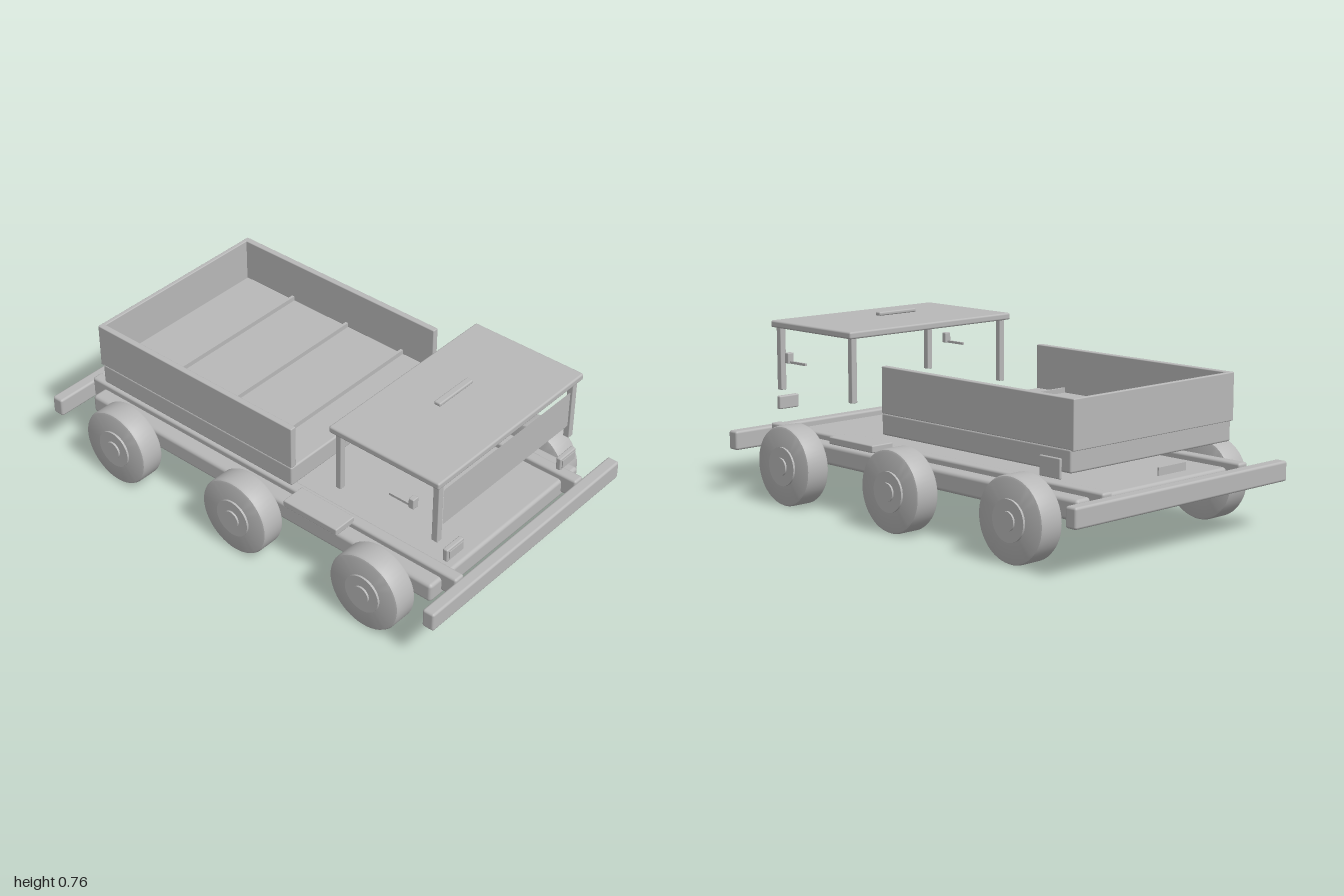
import * as THREE from 'three';
import { toCreasedNormals } from 'three/addons/utils/BufferGeometryUtils.js';
import { RoundedBoxGeometry } from 'three/addons/geometries/RoundedBoxGeometry.js';

export function createModel() {
  const truck = new THREE.Group();
  truck.name = 'flatbedTruck';
  const grey = new THREE.MeshStandardMaterial({ color: 0xb8b8b8 });
  grey.name = 'grey';

  function add(name, geometry, parent = truck) {
    const mesh = new THREE.Mesh(geometry, grey);
    mesh.name = name;
    parent.add(mesh);
    return mesh;
  }

  // Box given by its limits on each axis, with optional rounded edges
  function box(name, [x0, x1], [y0, y1], [z0, z1], radius = 0) {
    const size = [x1 - x0, y1 - y0, z1 - z0];
    const geometry = radius
      ? new RoundedBoxGeometry(...size, 2, radius)
      : new THREE.BoxGeometry(...size);
    const mesh = add(name, geometry);
    mesh.position.set((x0 + x1) / 2, (y0 + y1) / 2, (z0 + z1) / 2);
    return mesh;
  }

  // The same box on both sides
  function pair(name, [x0, x1], y, z, radius) {
    box(name + 'Left', [x0, x1], y, z, radius);
    box(name + 'Right', [-x1, -x0], y, z, radius);
  }

  // Chassis: floor plate, two rails, bumpers and steps
  box('chassisPlate', [-0.463, 0.463], [0.178, 0.26], [-0.89, 0.89], 0.015);
  pair('chassisRail', [0.35, 0.4], [0.2, 0.285], [-0.955, 0.955], 0.01);
  box('frontBumper', [-0.585, 0.585], [0.19, 0.27], [0.947, 1], 0.01);
  box('rearBumper', [-0.585, 0.585], [0.19, 0.27], [-1, -0.947], 0.01);
  pair('sideStep', [0.383, 0.49], [0.275, 0.305], [0.19, 0.457], 0.005);

  // Wheels with stepped hubs, and axles
  const tyreProfile = [
    [0, -0.053], [0.153, -0.053], [0.161, -0.05], [0.165, -0.042],
    [0.165, 0.042], [0.161, 0.05], [0.153, 0.053], [0, 0.053],
  ].map(([r, y]) => new THREE.Vector2(r, y));
  const tyre = toCreasedNormals(new THREE.LatheGeometry(tyreProfile, 48), 0.6);
  const hub = new THREE.CylinderGeometry(0.08, 0.08, 0.02, 40);
  const cap = new THREE.CylinderGeometry(0.037, 0.037, 0.02, 32);
  for (const z of [0.657, 0, -0.657]) {
    box('axle', [-0.47, 0.47], [0.157, 0.19], [z - 0.017, z + 0.017], 0.006);
    for (const side of [1, -1]) {
      const wheel = new THREE.Group();
      wheel.name = 'wheel';
      add('tyre', tyre, wheel);
      add('hub', hub, wheel).position.y = 0.052;
      add('hubCap', cap, wheel).position.y = 0.06;
      wheel.rotation.z = -side * Math.PI / 2;
      wheel.position.set(side * 0.517, 0.165, z);
      truck.add(wheel);
    }
  }

  // Cargo bed: base, walls and floor ridges
  box('bedBase', [-0.44, 0.44], [0.343, 0.43], [-0.835, 0.19], 0.008);
  pair('bedSideWall', [0.413, 0.44], [0.428, 0.614], [-0.84, 0.19], 0.004);
  box('bedRearWall', [-0.44, 0.44], [0.425, 0.614], [-0.848, -0.83], 0.004);
  for (const z of [0.03, -0.265, -0.565]) {
    box('bedRidge', [-0.413, 0.413], [0.425, 0.45], [z - 0.006, z + 0.006]);
  }

  // Open cab: roof, posts, roof light
  box('roof', [-0.44, 0.44], [0.698, 0.727], [0.376, 0.89], 0.008);
  pair('frontPost', [0.393, 0.42], [0.437, 0.7], [0.85, 0.877], 0.003);
  pair('rearPost', [0.393, 0.42], [0.437, 0.7], [0.393, 0.418], 0.003);
  box('roofLight', [-0.1, 0.1], [0.741, 0.757], [0.594, 0.624], 0.006);

  // Windshield, a single sheet facing forward
  const w = 0.385, h = 0.08, r = 0.008;
  const pane = new THREE.Shape();
  pane.moveTo(-w + r, -h);
  pane.lineTo(w - r, -h);
  pane.quadraticCurveTo(w, -h, w, -h + r);
  pane.lineTo(w, h - r);
  pane.quadraticCurveTo(w, h, w - r, h);
  pane.lineTo(-w + r, h);
  pane.quadraticCurveTo(-w, h, -w, h - r);
  pane.lineTo(-w, -h + r);
  pane.quadraticCurveTo(-w, -h, -w + r, -h);
  add('windshield', new THREE.ShapeGeometry(pane)).position.set(0, 0.579, 0.872);

  // Mirrors with arms, headlights with lenses
  pair('mirror', [0.42, 0.45], [0.56, 0.604], [0.763, 0.787], 0.004);
  pair('mirrorArm', [0.43, 0.44], [0.56, 0.57], [0.665, 0.775]);
  pair('headlight', [0.3, 0.4], [0.348, 0.404], [0.888, 0.911], 0.006);
  pair('headlightLens', [0.31, 0.39], [0.358, 0.394], [0.907, 0.915]);

  // Rear plate and the flat side box under the bed
  box('rearPlate', [-0.075, 0.075], [0.296, 0.327], [-0.926, -0.92]);
  box('sidePanel', [0.448, 0.46], [0.32, 0.396], [-0.8, -0.695], 0.004);

  return truck;
}
